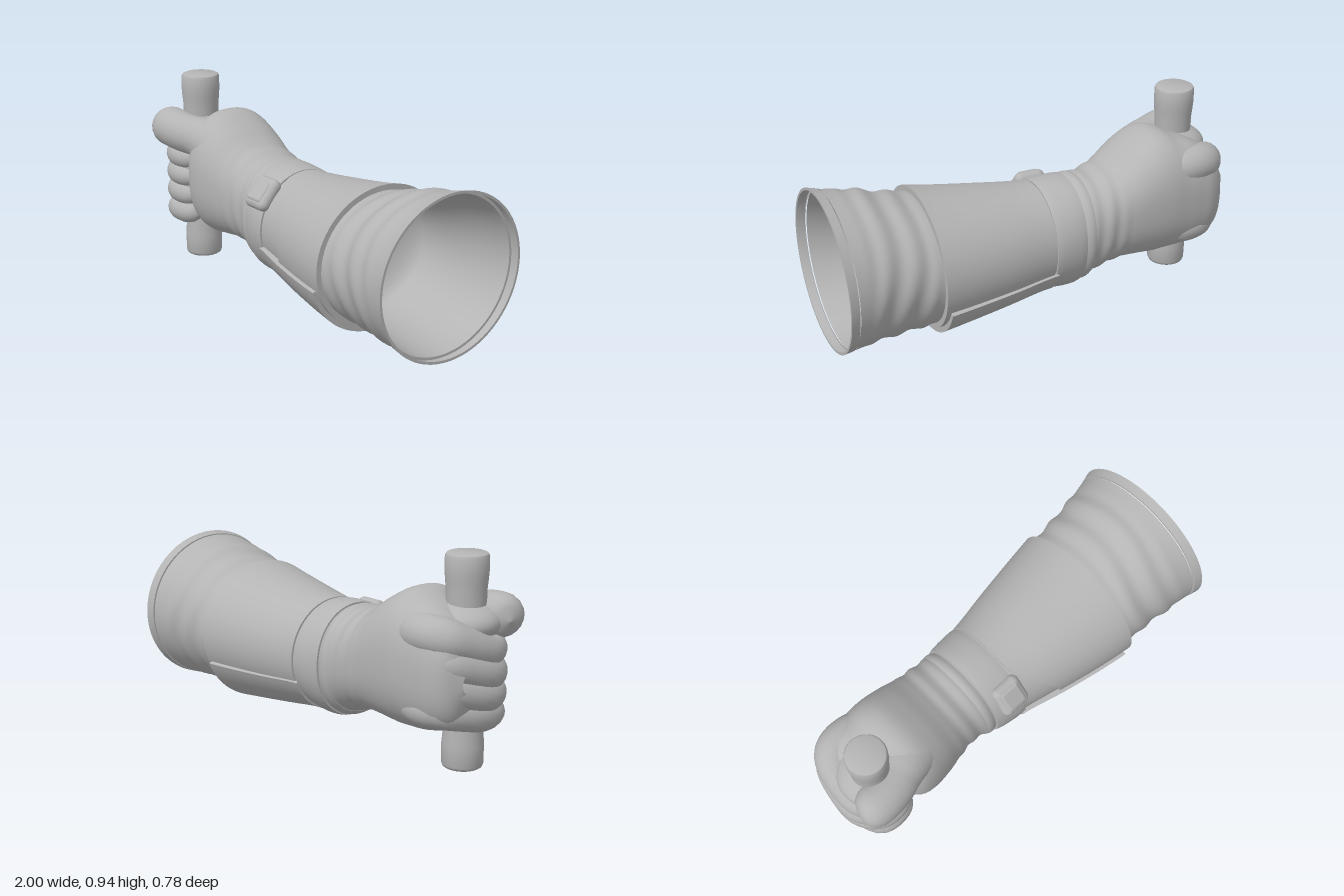
import * as THREE from 'three';
import { mergeVertices, toCreasedNormals } from 'three/addons/utils/BufferGeometryUtils.js';
import { RoundedBoxGeometry } from 'three/addons/geometries/RoundedBoxGeometry.js';

const { lerp, smoothstep, clamp } = THREE.MathUtils;
const clay = new THREE.MeshStandardMaterial({ color: 0xb4b4b4, side: THREE.DoubleSide });
clay.name = 'clay grey';

// Arm cross-sections along x: [x, top y, bottom y, back z, front z]
const sections = [
  [-0.97, 0.48, 0.40, -0.13, -0.06],
  [-0.94, 0.60, 0.29, -0.19, 0.0],
  [-0.88, 0.68, 0.23, -0.235, 0.05],
  [-0.80, 0.73, 0.20, -0.25, 0.09],
  [-0.72, 0.76, 0.18, -0.257, 0.16],
  [-0.66, 0.785, 0.17, -0.262, 0.22],
  [-0.60, 0.785, 0.165, -0.262, 0.235],
  [-0.50, 0.735, 0.175, -0.257, 0.225],
  [-0.40, 0.665, 0.18, -0.25, 0.20],
  [-0.30, 0.63, 0.16, -0.25, 0.185],
  [-0.20, 0.62, 0.112, -0.25, 0.20],
  [0.00, 0.61, 0.11, -0.265, 0.235],
  [0.20, 0.625, 0.095, -0.295, 0.28],
  [0.55, 0.67, 0.072, -0.335, 0.335],
  [0.70, 0.705, 0.062, -0.345, 0.34],
  [0.80, 0.735, 0.055, -0.355, 0.355],
  [0.95, 0.765, 0.04, -0.38, 0.375],
  [1.00, 0.778, 0.035, -0.392, 0.388],
];
const spline = new THREE.CubicInterpolant(
  sections.map(s => s[0]), sections.flatMap(s => s.slice(1)), 4, new Float32Array(4));

// Point on the arm at x and angle t (0 = front, PI/2 = top), pushed out by off
function armPoint(x, t, off) {
  const [top, bottom, back, front] = spline.evaluate(x);
  const power = lerp(0.84, 1, smoothstep(x, -0.5, 0));
  const c = Math.cos(t), s = Math.sin(t);
  const bend = v => Math.sign(v) * Math.abs(v) ** power;
  return [x,
    (top + bottom) / 2 + (top - bottom) / 2 * bend(s) + off * s,
    (front + back) / 2 + (front - back) / 2 * bend(c) + off * c];
}

// Grid surface from point(i, j)
function gridGeometry(rows, cols, point, crease = 0.6) {
  const pos = [], index = [];
  for (let i = 0; i <= rows; i++) for (let j = 0; j <= cols; j++) pos.push(...point(i, j));
  for (let i = 0; i < rows; i++) for (let j = 0; j < cols; j++) {
    const a = i * (cols + 1) + j, b = a + cols + 1;
    index.push(a, b, b + 1, a, b + 1, a + 1);
  }
  const g = new THREE.BufferGeometry();
  g.setAttribute('position', new THREE.Float32BufferAttribute(pos, 3));
  g.setIndex(index);
  return toCreasedNormals(g, crease);
}

// Layer lying on the arm; its borders are tucked in to give it thickness
function layer({ x0, x1, off, rows = 24, t0 = 0, t1 = Math.PI * 2, cols = 72, sink = -0.01 }) {
  const full = t1 - t0 > 6.28;
  return gridGeometry(rows + 2, cols + 2, (i, j) => {
    const u = clamp((i - 1) / rows, 0, 1);
    const t = lerp(t0, t1, clamp((j - 1) / cols, 0, 1));
    const x = lerp(typeof x0 === 'function' ? x0(t) : x0, x1, u);
    const border = i === 0 || i === rows + 2 || (!full && (j === 0 || j === cols + 2));
    return armPoint(x, t, border ? sink : off(u, t));
  });
}

// Rounded tapering limb along a path
function limb(points, radii) {
  const path = new THREE.CatmullRomCurve3(points.map(p => new THREE.Vector3(...p)));
  const n = 40, sides = 20;
  const g = new THREE.TubeGeometry(path, n, 1, sides);
  const pos = g.attributes.position, v = new THREE.Vector3();
  for (let i = 0; i <= n; i++) {
    const u = i / n, centre = path.getPointAt(u);
    const k = Math.min(Math.floor(u * (radii.length - 1)), radii.length - 2);
    let r = lerp(radii[k], radii[k + 1], u * (radii.length - 1) - k);
    const e = Math.max(0, (Math.abs(u - 0.5) - 0.36) / 0.14);
    r *= Math.sqrt(Math.max(0, 1 - e * e)) + 0.001;
    for (let j = 0; j <= sides; j++) {
      const id = i * (sides + 1) + j;
      v.fromBufferAttribute(pos, id).sub(centre).multiplyScalar(r).add(centre);
      pos.setXYZ(id, v.x, v.y, v.z);
    }
  }
  g.deleteAttribute('uv');
  g.deleteAttribute('normal');
  const merged = mergeVertices(g, 1e-5);
  merged.computeVertexNormals();
  return merged;
}

export function createModel() {
  const model = new THREE.Group();
  const add = (name, geometry, parent = model) => {
    const mesh = new THREE.Mesh(geometry, clay);
    mesh.name = name;
    parent.add(mesh);
    return mesh;
  };

  // Cloth folds at the wrist and upper sleeve
  const folds = (x, t) => {
    const wrist = smoothstep(x, -0.45, -0.35) * (1 - smoothstep(x, -0.22, -0.16));
    const sleeve = smoothstep(x, 0.55, 0.62) * (1 - smoothstep(x, 0.82, 0.92));
    return wrist * 0.004 * Math.sin(x * 75 + 2 * Math.sin(t))
      + sleeve * 0.006 * Math.sin(x * 48 + 2.5 * Math.sin(t + 0.6) + Math.sin(3 * t));
  };
  add('handAndSleeve', gridGeometry(150, 72, (i, j) => {
    const x = lerp(-0.97, 0.952, i / 150), t = j / 72 * Math.PI * 2;
    return armPoint(x, t, folds(x, t));
  }, 0.9));

  // Rim ring and hollow lining with a domed end
  add('sleeveRim', layer({ x0: 0.959, x1: 1, off: () => 0.002, rows: 2, sink: -0.01 }));
  add('sleeveLining', gridGeometry(30, 72, (i, j) => {
    const t = j / 72 * Math.PI * 2, u = i / 30;
    const wall = Math.min(u / 0.6, 1), dome = Math.max(0, (u - 0.6) / 0.4);
    const p = armPoint(lerp(0.952, 0.5, wall), t, -0.008 - 0.01 * wall);
    const shrink = Math.cos(dome * Math.PI / 2);
    return [p[0] - 0.12 * Math.sin(dome * Math.PI / 2), 0.37 + (p[1] - 0.37) * shrink, p[2] * shrink];
  }, 0.9));

  // Forearm guard with a diagonal flap edge on the front
  const flapEdge = t => {
    const a = Math.atan2(Math.sin(t), Math.cos(t));
    return -0.02 + 0.18 * smoothstep(a, -0.7, -0.25) * (1 - smoothstep(a, -0.2, 1.25));
  };
  add('forearmGuard', layer({ x0: flapEdge, x1: 0.553, off: u => 0.01 + 0.016 * u }));
  add('undersidePlate', layer({
    x0: -0.04, x1: 0.528, t0: -2.75, t1: -0.28, cols: 40,
    off: (u, t) => 0.02 + u * (0.016 + 0.02 * Math.max(0, -Math.sin(t))),
  }));

  // Wrist strap and buckle
  add('wristStrap', layer({ x0: -0.185, x1: -0.03, off: u => 0.009 + 0.007 * Math.sin(Math.PI * u) ** 0.5, rows: 8 }));
  add('wristBand', layer({ x0: -0.245, x1: -0.19, off: u => 0.008 * Math.sin(Math.PI * u), rows: 6 }));
  const buckle = new THREE.Group();
  buckle.name = 'buckle';
  buckle.position.set(-0.082, 0.53, 0.182);
  buckle.rotation.x = -0.7;
  model.add(buckle);
  add('bucklePlate', new RoundedBoxGeometry(0.15, 0.16, 0.066, 6, 0.032), buckle);
  add('bucklePad', new RoundedBoxGeometry(0.105, 0.11, 0.03, 5, 0.014), buckle).position.z = 0.025;

  // Solid core of the fist, filling between thumb, fingers and palm
  add('fistCore', new THREE.SphereGeometry(1, 32, 24).scale(0.165, 0.275, 0.18)).position.set(-0.79, 0.45, 0.015);
  add('thumbWeb', new THREE.SphereGeometry(1, 32, 24).scale(0.19, 0.095, 0.17)).position.set(-0.765, 0.655, 0.05);

  // Four fingers wrapped round the handle: [knuckle y, tip y, reach, knuckle radius]
  [[0.625, 0.54, 0.012, 0.09], [0.52, 0.445, 0, 0.086], [0.41, 0.35, 0.004, 0.084], [0.305, 0.255, 0.028, 0.08],
  ].forEach(([yb, yf, dx, r], i) => {
    const ym = (yb + yf) / 2;
    add('finger' + (i + 1), limb([
      [-0.6, lerp(yb, 0.45, 0.2), -0.08], [-0.74, yb, -0.155], [-0.865 + dx, yb, -0.145],
      [-0.914 + dx, ym, -0.04], [-0.92 + dx, yf, 0.07], [-0.86, yf, 0.145], [-0.77, yf, 0.155], [-0.69, yf, 0.135],
    ], [r, r, r - 0.004, 0.073, 0.066, 0.061]));
  });

  // Thumb closing over the top
  add('thumb', limb([
    [-0.42, 0.49, 0], [-0.54, 0.58, 0.06], [-0.66, 0.645, 0.115], [-0.77, 0.665, 0.162],
    [-0.88, 0.675, 0.172], [-0.968, 0.665, 0.145],
  ], [0.12, 0.13, 0.12, 0.097, 0.099, 0.1]));

  // Handle held in the fist
  const profile = [[0, 0.005], [0.078, 0.005], [0.086, 0.01], [0.091, 0.022], [0.092, 0.11], [0.087, 0.17],
    [0.087, 0.79], [0.091, 0.83], [0.094, 0.87], [0.094, 0.932], [0.089, 0.944], [0.078, 0.949], [0, 0.949]];
  const handle = new THREE.LatheGeometry(profile.map(p => new THREE.Vector2(...p)), 40);
  add('handle', toCreasedNormals(handle, 0.7)).position.set(-0.8, 0, 0.05);

  return model;
}
